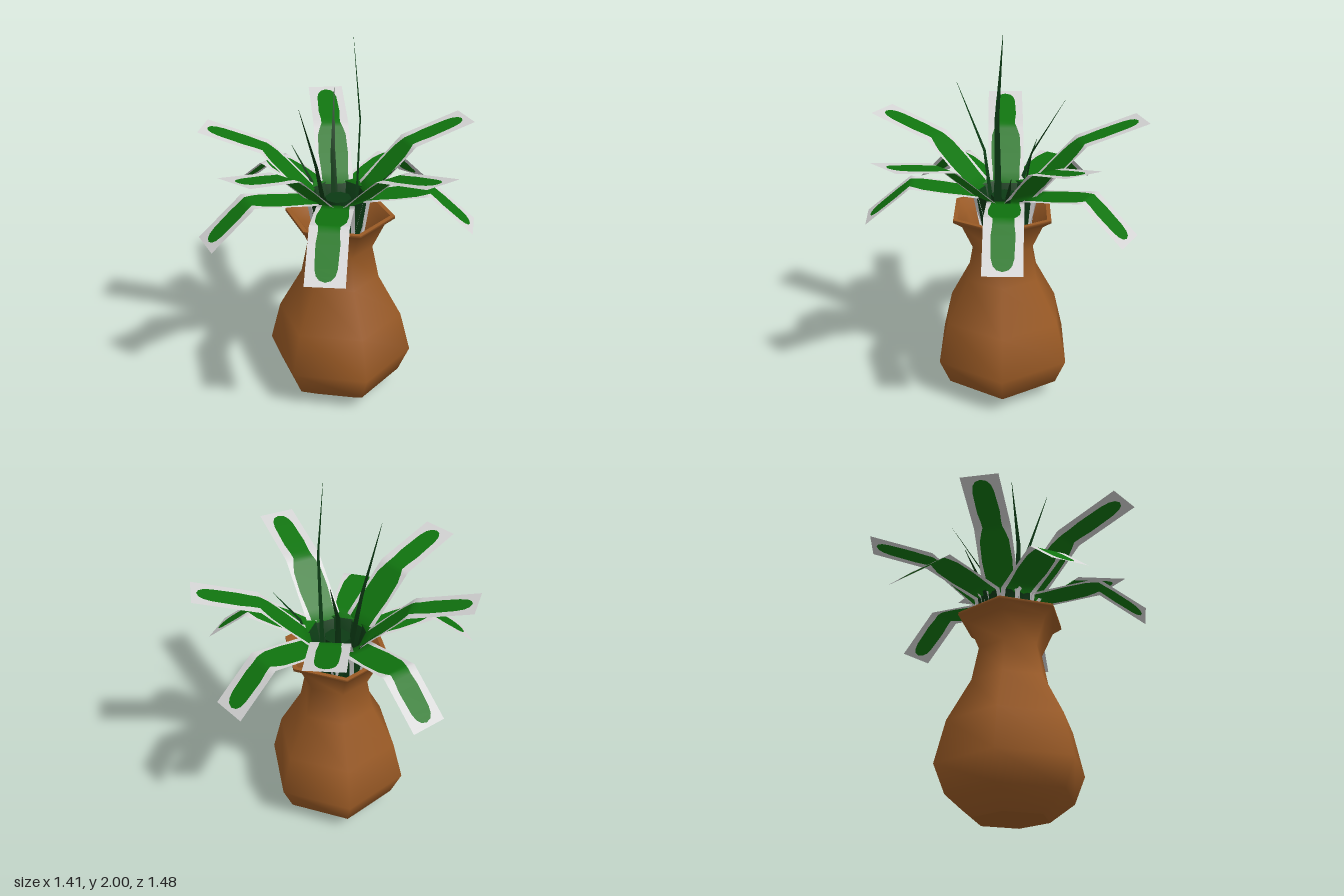
import * as THREE from 'three';

const mat = (name, color, side = THREE.DoubleSide) => {
  const m = new THREE.MeshStandardMaterial({ color, side });
  m.name = name;
  return m;
};

// Point at distance d (0..1 of each segment) along a radial profile of [radius, height]
function along(profile, s) {
  const i = Math.min(Math.floor(s), profile.length - 2), f = s - i;
  const [a, b] = [profile[i], profile[i + 1]];
  return [a[0] + (b[0] - a[0]) * f, a[1] + (b[1] - a[1]) * f];
}

// Strip leaf growing along +x: pale border columns, green centre column
function leafGeometry(profile, halfWidth) {
  // [position along the profile, half width of the green]
  const rings = [[0, 0.07], [0.5, 0.075], [1, 0.07], [1.2, 0.072], [1.5, 0.08], [1.8, 0.076],
    [1.93, 0.062], [2, 0.052], [2.12, 0.052], [2.3, 0.058], [2.7, 0.054], [2.82, 0.045],
    [2.89, 0.028], [2.92, 0.001], [3, 0.001]];
  const pos = [], sides = [], base = [], blade = [];
  rings.forEach(([s, g], i) => {
    const [r, y] = along(profile, s);
    for (const z of [-halfWidth, -g, g, halfWidth]) pos.push(r, y, z);
    if (i === rings.length - 1) return;
    for (let c = 0; c < 3; c++) {
      const a = i * 4 + c, b = a + 4;
      const list = c !== 1 || s >= 2.92 ? sides : s < 1 ? base : blade;
      list.push(a, a + 1, b, a + 1, b + 1, b);
    }
  });
  const geo = new THREE.BufferGeometry();
  geo.setAttribute('position', new THREE.Float32BufferAttribute(pos, 3));
  geo.setIndex([...sides, ...base, ...blade]);
  geo.addGroup(0, sides.length, 0);
  geo.addGroup(sides.length, base.length, 1);
  geo.addGroup(sides.length + base.length, blade.length, 2);
  geo.computeVertexNormals();
  return geo;
}

// Narrow flat blade through three points, tapering to its tip
function shootGeometry(points, halfWidth) {
  const tip = points[2];
  const side = new THREE.Vector3(-tip[2], 0, tip[0]).normalize();
  const pos = [];
  points.forEach((p, i) => {
    const w = halfWidth * [1, 0.45, 0.04][i];
    for (const k of [-w, w]) pos.push(p[0] + side.x * k, p[1], p[2] + side.z * k);
  });
  const geo = new THREE.BufferGeometry();
  geo.setAttribute('position', new THREE.Float32BufferAttribute(pos, 3));
  geo.setIndex([0, 2, 1, 1, 2, 3, 2, 4, 3, 3, 4, 5]);
  geo.computeVertexNormals();
  return geo;
}

export function createModel() {
  const model = new THREE.Group();
  model.name = 'pottedPlant';
  const clay = mat('clay', 0x9a5a25);
  const green = mat('leafGreen', 0x10740f);
  const darkGreen = mat('deepGreen', 0x0c3a14);
  const pale = mat('paleBorder', 0xd4d4d4);

  const add = (name, geo, material, parent = model) => {
    const mesh = new THREE.Mesh(geo, material);
    mesh.name = name;
    parent.add(mesh);
    return mesh;
  };

  // Six-sided vase with corners on the x axis
  const vase = new THREE.Group();
  vase.name = 'vase';
  vase.position.set(0.01, 0, 0.02);
  model.add(vase);
  const lathe = (pts) =>
    new THREE.LatheGeometry(pts.map(([r, y]) => new THREE.Vector2(r, y)), 6, Math.PI / 2);
  add('vaseBody', lathe([[0.2, 0], [0.335, 0.1], [0.395, 0.245], [0.338, 0.47], [0.212, 0.7],
    [0.175, 0.88], [0.24, 1.02], [0.29, 1.055], [0.29, 1.07]]), clay, vase);
  add('vaseRim', lathe([[0.29, 1.07], [0.265, 1.07]]), clay, vase);
  add('vaseInside', lathe([[0.265, 1.07], [0.225, 1.02], [0.16, 0.88], [0.18, 0.7], [0, 0.66]]), clay, vase);
  add('vaseBottom', new THREE.CircleGeometry(0.2, 6).rotateX(Math.PI / 2), clay, vase);

  // Ten leaves: raised and drooping ones alternate around the vase
  const raised = [[0.05, 0.75], [0.14, 1.16], [0.4, 1.41], [0.735, 1.505]];
  const drooping = [[0.05, 0.75], [0.15, 1.17], [0.5, 1.23], [0.735, 1.04]];
  const tips = [[-0.19, -0.72], [0.345, -0.61], [0.63, -0.345], [0.705, 0.015], [0.55, 0.55],
    [0.05, 0.73], [-0.36, 0.68], [-0.6, 0.425], [-0.705, 0.01], [-0.6, -0.4]];
  tips.forEach(([x, z], i) => {
    const reach = Math.hypot(x, z) / 0.735;
    const profile = (i % 2 ? drooping : raised).map(([r, y]) => [r * reach, y]);
    const leaf = add(i % 2 ? 'droopingLeaf' : 'raisedLeaf',
      leafGeometry(profile, 0.096), [pale, darkGreen, green]);
    leaf.rotation.y = Math.atan2(-z, x);
  });

  // Thin young shoots in the middle
  const shoots = [
    [[0.09, 0.85, 0.04], [0.115, 1.6, 0.045], [0.075, 2, 0.015]],
    [[-0.02, 0.85, 0.05], [-0.095, 1.36, 0.115], [-0.15, 1.71, 0.255]],
    [[-0.02, 0.85, -0.04], [-0.05, 1.36, -0.13], [-0.07, 1.64, -0.3]],
    [[-0.05, 0.85, -0.03], [-0.16, 1.19, -0.09], [-0.28, 1.36, -0.165]],
    [[0.05, 0.85, 0], [0.2, 1.22, -0.01], [0.34, 1.37, -0.025]],
  ];
  for (const points of shoots) add('shoot', shootGeometry(points, 0.026), darkGreen);

  // Dark heart where the leaves meet
  add('heart', new THREE.CylinderGeometry(0.07, 0.05, 0.4, 8).translate(0, 0.95, 0.01), darkGreen);

  return model;
}
